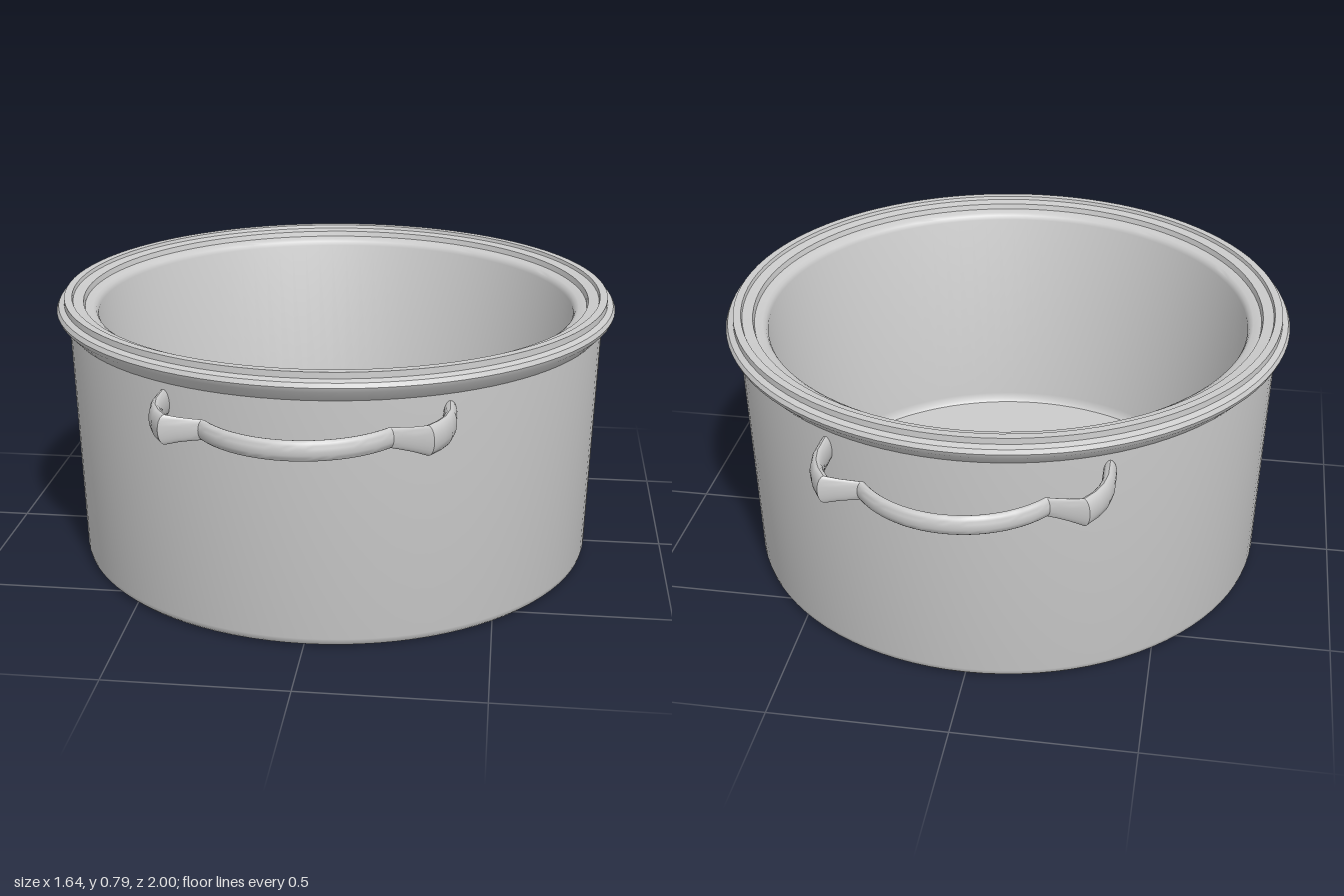
import * as THREE from 'three';
import { toCreasedNormals } from 'three/addons/utils/BufferGeometryUtils.js';

const material = new THREE.MeshStandardMaterial({ color: 0xcccccc });

// Thick-walled pot: one closed profile from the base centre, up the outside and down the inside
function createPot() {
  const profile = [
    [0, 0.004], [0.665, 0.004], [0.67, 0], // slightly recessed base
    [0.745, 0], [0.757, 0.004], [0.765, 0.012], [0.768, 0.025], // rounded foot
    [0.785, 0.71], [0.815, 0.742], [0.82, 0.755], [0.814, 0.767], [0.798, 0.773], // flared rim
    [0.797, 0.79], [0.775, 0.79], [0.772, 0.78], [0.742, 0.776], [0.738, 0.76], // lid steps
    [0.715, 0.756], [0.706, 0.75], [0.70, 0.738], // inner lip
    [0.672, 0.09], [0.668, 0.07], [0.66, 0.06], [0, 0.06], // inner wall and floor
  ].map(([r, y]) => new THREE.Vector2(r, y));
  return toCreasedNormals(new THREE.LatheGeometry(profile, 96), 0.6);
}

// Handle: oval sections, each given by its outer and inner point in plan and its half height
function createHandle() {
  const half = [
    [0.392, 0.69, 0.356, 0.69, 0.038],
    [0.394, 0.76, 0.358, 0.76, 0.039],
    [0.386, 0.81, 0.35, 0.805, 0.04],
    [0.37, 0.85, 0.335, 0.838, 0.04],
    [0.345, 0.892, 0.312, 0.87, 0.04], // sharp corner
    [0.30, 0.886, 0.285, 0.868, 0.033],
    [0.265, 0.882, 0.25, 0.865, 0.029],
  ];
  const sections = [...half];
  const arcSteps = 28, spread = 0.91;
  for (let i = 0; i <= arcSteps; i++) { // bowed grip
    const a = spread * (1 - (2 * i) / arcSteps);
    const s = Math.sin(a), c = Math.cos(a);
    sections.push([0.31 * s, 0.69 + 0.31 * c, 0.282 * s, 0.69 + 0.282 * c, 0.027]);
  }
  for (const [ox, oz, ix, iz, h] of [...half].reverse()) sections.push([-ox, oz, -ix, iz, h]);

  const sides = 20, positions = [], index = [];
  sections.forEach(([ox, oz, ix, iz, h], i) => {
    for (let j = 0; j < sides; j++) {
      const a = (j / sides) * Math.PI * 2, k = (1 + Math.cos(a)) / 2;
      positions.push(ix + (ox - ix) * k, 0.653 + Math.sin(a) * h, iz + (oz - iz) * k);
      if (i === sections.length - 1) continue;
      const n = (j + 1) % sides, p = i * sides, q = p + sides;
      index.push(p + j, p + n, q + j, p + n, q + n, q + j);
    }
  });
  const geometry = new THREE.BufferGeometry();
  geometry.setAttribute('position', new THREE.Float32BufferAttribute(positions, 3));
  geometry.setIndex(index);
  return toCreasedNormals(geometry, 0.6);
}

export function createModel() {
  const model = new THREE.Group();
  model.name = 'cookingPot';

  const pot = new THREE.Mesh(createPot(), material);
  pot.name = 'pot';
  model.add(pot);

  const handle = createHandle();
  ['frontHandle', 'backHandle'].forEach((name, i) => {
    const mesh = new THREE.Mesh(handle, material);
    mesh.name = name;
    mesh.rotation.y = i * Math.PI;
    model.add(mesh);
  });
  return model;
}
